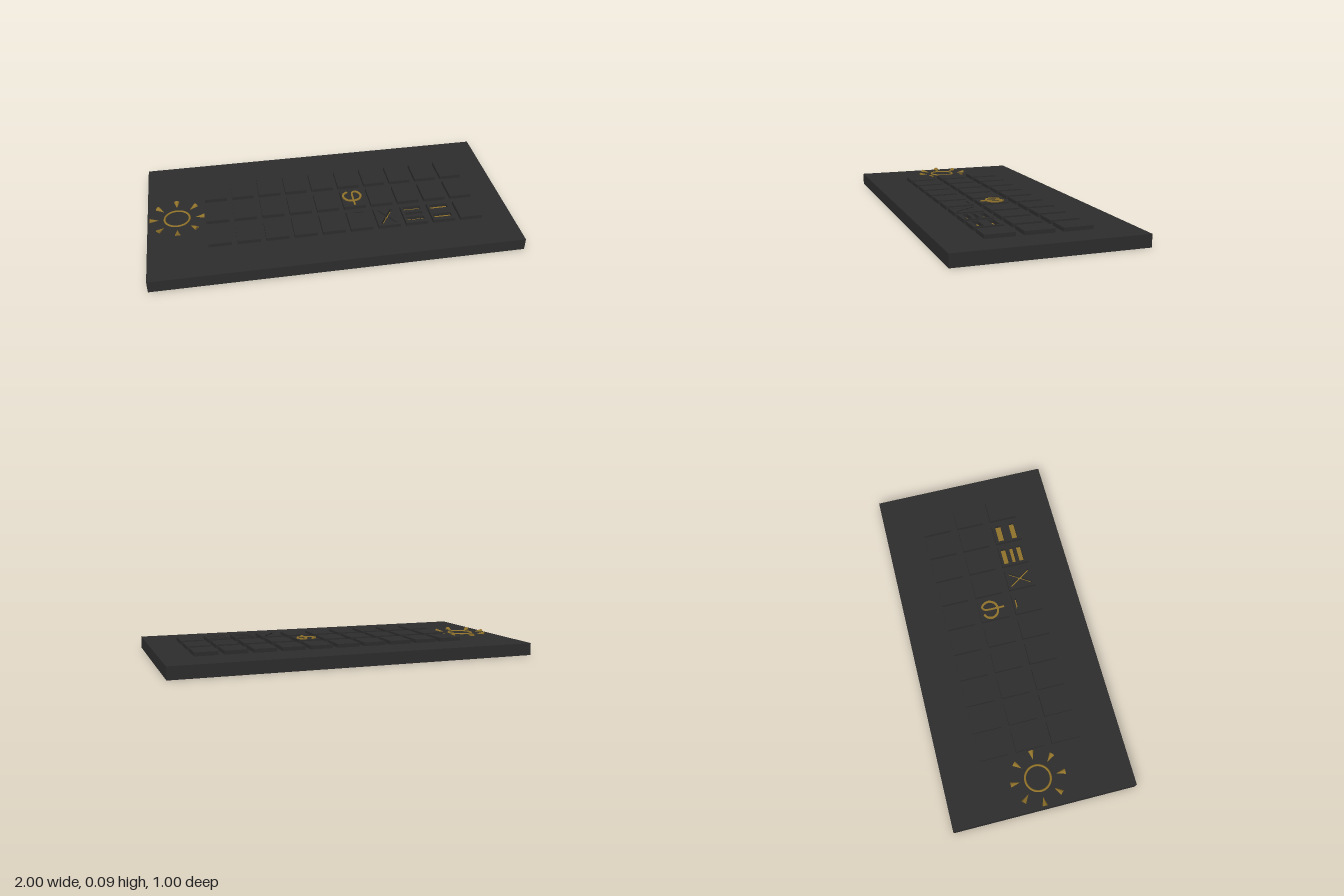
import * as THREE from 'three';

const TOP = 0.067;      // slab top
const KEY_TOP = 0.087;  // key top
const COLS = 10, KEY_W = 0.124, KEY_D = 0.157;

export function createModel() {
  const model = new THREE.Group();
  const dark = new THREE.MeshStandardMaterial({ color: 0x2d2d2d });
  dark.name = 'charcoal';
  const gold = new THREE.MeshStandardMaterial({ color: 0x90722a });
  gold.name = 'dull gold';

  const add = (parent, name, geo, mat, x = 0, y = 0, z = 0) => {
    const mesh = new THREE.Mesh(geo, mat);
    mesh.name = name;
    mesh.position.set(x, y, z);
    parent.add(mesh);
    return mesh;
  };
  // outline drawn in (x, -z), raised along y
  const raise = (shape, depth) =>
    new THREE.ExtrudeGeometry(shape, { depth, bevelEnabled: false }).rotateX(-Math.PI / 2);
  const poly = (pts) => pts.map(([x, z]) => new THREE.Vector2(x, -z));
  const rect = (x0, x1, z0, z1) => poly([[x0, z0], [x0, z1], [x1, z1], [x1, z0]]);

  // ribbon of constant width along a smooth path
  const ribbon = (pts, half) => {
    const curve = new THREE.SplineCurve(poly(pts));
    const a = [], b = [], n = 48;
    for (let i = 0; i <= n; i++) {
      const p = curve.getPoint(i / n), t = curve.getTangent(i / n);
      a.push(new THREE.Vector2(p.x - t.y * half, p.y + t.x * half));
      b.unshift(new THREE.Vector2(p.x + t.y * half, p.y - t.x * half));
    }
    return new THREE.Shape([...a, ...b]);
  };

  // diagonal cross outline
  const cross = (w, d, t) => poly([
    [-w, -d], [-w + t, -d], [0, -t * 0.75], [w - t, -d], [w, -d], [t / 2, 0],
    [w, d], [w - t, d], [0, t * 0.75], [-w + t, d], [-w, d], [-t / 2, 0],
  ]);

  add(model, 'slab', new THREE.BoxGeometry(2, TOP, 1), dark, 0, TOP / 2, 0);

  // symbols cut through the front row, indexed by column
  const cuts = {
    5: [poly([[-0.032, -0.066], [0.033, -0.064], [0.033, -0.056], [-0.01, -0.056]])],
    6: [cross(0.046, 0.06, 0.014)],
    7: [rect(-0.048, 0.048, -0.065, -0.036), rect(-0.048, 0.048, -0.014, 0.007),
      rect(-0.048, 0.048, 0.027, 0.054)],
    8: [rect(-0.05, 0.05, -0.06, -0.026), rect(-0.05, 0.05, 0.022, 0.054)],
  };

  const keys = new THREE.Group();
  keys.name = 'keys';
  model.add(keys);
  for (let row = 0; row < 3; row++) {
    for (let col = 0; col < COLS; col++) {
      const x = -0.617 + col * 0.1538, z = (row - 1) * 0.2;
      const shape = new THREE.Shape(rect(-KEY_W / 2, KEY_W / 2, -KEY_D / 2, KEY_D / 2));
      const holes = row === 2 && cuts[col] ? cuts[col] : [];
      for (const outline of holes) {
        shape.holes.push(new THREE.Path(outline));
        add(keys, 'symbolInlay', raise(new THREE.Shape(outline), 0.001), gold, x, TOP, z);
      }
      add(keys, 'key', raise(shape, KEY_TOP - TOP), dark, x, TOP, z);
    }
  }

  // raised looped symbol on the middle row
  const loop = new THREE.Group();
  loop.name = 'loopSymbol';
  loop.position.set(0.152, KEY_TOP, 0);
  model.add(loop);
  add(loop, 'bowl', raise(ribbon([[-0.022, -0.056], [-0.044, -0.038], [-0.05, -0.01],
    [-0.034, 0.018], [0, 0.029], [0.034, 0.018], [0.05, -0.014], [0.04, -0.045], [0.022, -0.059]],
  0.006), 0.005), gold);
  add(loop, 'stem', raise(ribbon([[0.025, -0.059], [0.01, -0.05], [0.003, -0.03],
    [0.002, 0.02], [0.002, 0.067]], 0.005), 0.005), gold);

  // sun emblem: ring with eight cones pointing inward
  const sun = new THREE.Group();
  sun.name = 'sunEmblem';
  sun.position.set(-0.838, TOP, 0);
  model.add(sun);
  add(sun, 'sunRing', new THREE.TorusGeometry(0.069, 0.006, 10, 48).rotateX(Math.PI / 2), gold);
  const ray = new THREE.ConeGeometry(0.015, 0.05, 16).rotateZ(Math.PI / 2).translate(0.125, 0, 0);
  for (let i = 0; i < 8; i++) add(sun, 'sunRay', ray, gold).rotation.y = i * Math.PI / 4;

  return model;
}
